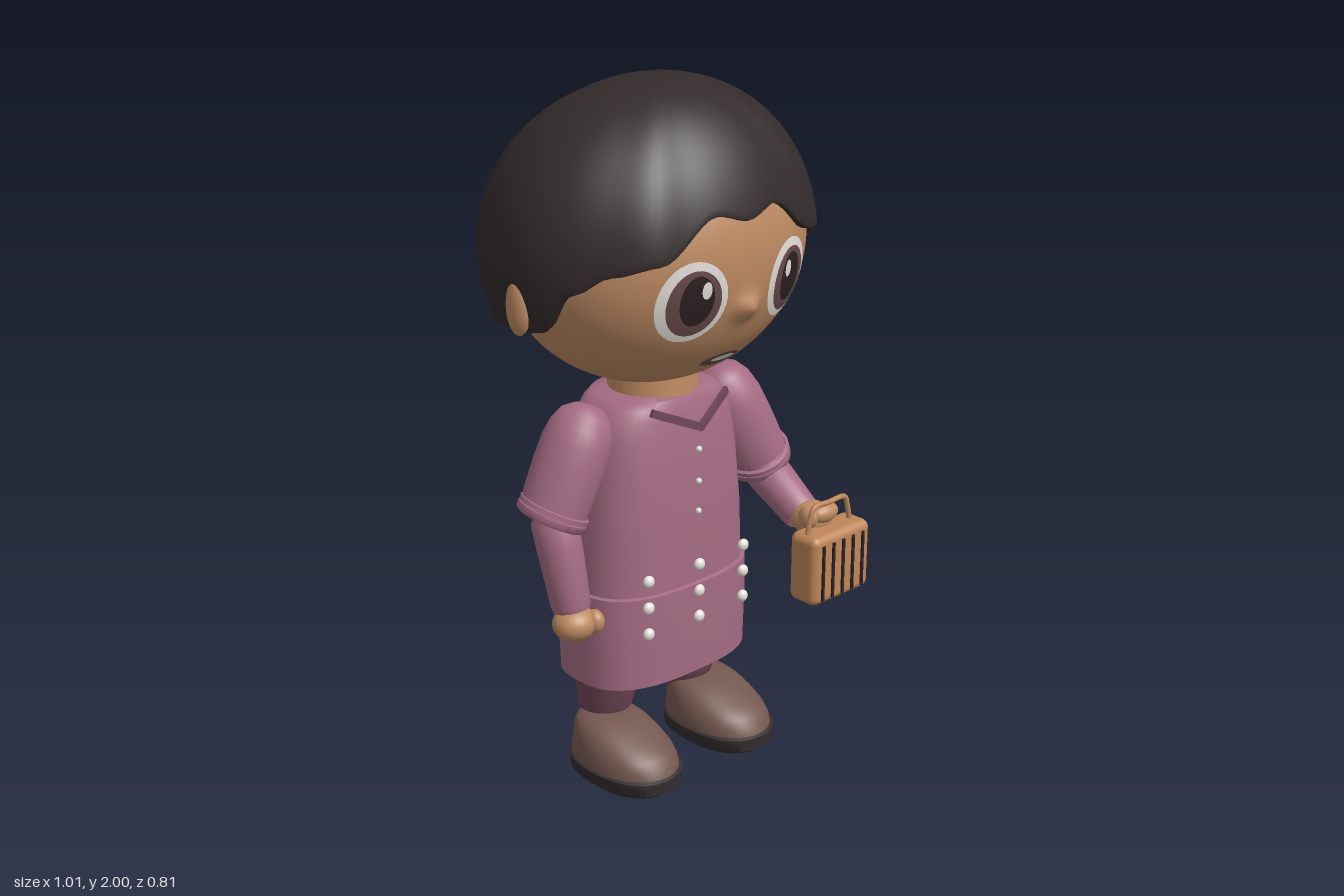
import * as THREE from 'three';
import { toCreasedNormals } from 'three/addons/utils/BufferGeometryUtils.js';
import { RoundedBoxGeometry } from 'three/addons/geometries/RoundedBoxGeometry.js';

const material = (name, color, side = THREE.FrontSide) => {
  const m = new THREE.MeshStandardMaterial({ color, side });
  m.name = name;
  return m;
};

// Grid of points, rows running upward and columns turning from +z to +x
function gridGeometry(rows, cols, at) {
  const pos = [], index = [];
  for (let j = 0; j < rows; j++)
    for (let i = 0; i < cols; i++) pos.push(...at(j, i / cols));
  for (let j = 0; j < rows - 1; j++)
    for (let i = 0; i < cols; i++) {
      const a = j * cols + i, b = j * cols + (i + 1) % cols;
      index.push(a, b, a + cols, b, b + cols, a + cols);
    }
  const g = new THREE.BufferGeometry();
  g.setAttribute('position', new THREE.Float32BufferAttribute(pos, 3));
  g.setIndex(index);
  g.computeVertexNormals();
  return g;
}

// Stack of rounded cross-sections [y, centreZ, halfWidth, halfDepth]
function loft(sections, n) {
  const f = (v) => Math.sign(v) * Math.abs(v) ** (2 / n);
  const g = gridGeometry(sections.length, 64, (j, u) => {
    const [y, cz, rx, rz] = sections[j], t = u * Math.PI * 2;
    return [rx * f(Math.sin(t)), y, cz + rz * f(Math.cos(t))];
  });
  return toCreasedNormals(g, 0.8);
}

// Smooth lookup in a list of [x, value]
function lookup(table, x) {
  let i = 0;
  while (i < table.length - 2 && x > table[i + 1][0]) i++;
  const [x0, v0] = table[i], [x1, v1] = table[i + 1];
  return v0 + (v1 - v0) * THREE.MathUtils.smoothstep(x, x0, x1);
}

export function createModel() {
  const model = new THREE.Group();
  const skin = material('skin', 0xbd8a62);
  const hairDark = material('hair', 0x332b2b, THREE.DoubleSide);
  const cloth = material('mauve cloth', 0xa56c83, THREE.DoubleSide);
  const trouser = material('dark mauve', 0x704658);
  const leather = material('shoe leather', 0x73574f);
  const sole = material('sole', 0x332d2e);
  const white = material('off white', 0xe6e0da);
  const iris = material('iris', 0x6a4a4a);
  const pupil = material('pupil', 0x2b2122);
  const wood = material('case tan', 0xbe8659);

  const add = (name, geo, mat, x = 0, y = 0, z = 0, parent = model) => {
    const m = new THREE.Mesh(geo, mat);
    m.name = name;
    m.position.set(x, y, z);
    parent.add(m);
    return m;
  };
  const ball = (name, mat, x, y, z, rx, ry = rx, rz = rx, seg = 24) =>
    add(name, new THREE.SphereGeometry(1, seg, seg * 0.75).scale(rx, ry, rz), mat, x, y, z);

  // Round limb from a (top) to b (end); profile is [radius, fraction from b to a]
  const limb = (name, mat, a, b, profile) => {
    const A = new THREE.Vector3(...a), B = new THREE.Vector3(...b), d = A.clone().sub(B);
    const pts = profile.map(([r, t]) => new THREE.Vector2(r, t * d.length()));
    const geo = toCreasedNormals(new THREE.LatheGeometry(pts, 32), 0.8);
    const m = add(name, geo, mat, ...b);
    m.quaternion.setFromUnitVectors(new THREE.Vector3(0, 1, 0), d.normalize());
  };

  // Head, with the nose raised out of the face
  const HX = 0.46, HY = 0.395, HZ = 0.37, HC = 1.555;
  const headGeo = new THREE.SphereGeometry(1, 128, 96).rotateY(-Math.PI / 2).scale(HX, HY, HZ);
  const hp = headGeo.attributes.position;
  for (let i = 0; i < hp.count; i++) {
    const x = hp.getX(i), y = hp.getY(i) + HC - 1.435, z = hp.getZ(i);
    if (z > 0) hp.setZ(i, z + 0.036 * Math.exp(-((x / 0.036) ** 2) - (y / 0.034) ** 2));
  }
  headGeo.computeVertexNormals();
  add('head', headGeo, skin, 0, HC, 0);
  add('neck', new THREE.CylinderGeometry(0.12, 0.135, 0.16, 32), skin, 0, 1.15, -0.005);

  // Thin oval laid on the curve of the face
  const patch = (name, mat, cx, cy, rx, ry, lift) => {
    const g = new THREE.RingGeometry(0, 1, 40, 6), p = g.attributes.position;
    for (let i = 0; i < p.count; i++) {
      const x = cx + p.getX(i) * rx, y = cy + p.getY(i) * ry;
      const z = HZ * Math.sqrt(1 - (x / HX) ** 2 - ((y - HC) / HY) ** 2);
      p.setXYZ(i, x, y, z + lift);
    }
    g.computeVertexNormals();
    add(name, g, mat);
  };
  patch('lips', iris, 0, 1.27, 0.068, 0.021, 0.006);
  patch('teeth', white, 0, 1.275, 0.042, 0.009, 0.01);

  for (const s of [-1, 1]) {
    patch('eyeWhite', white, s * 0.175, 1.478, 0.098, 0.113, 0.006);
    patch('iris', iris, s * 0.174, 1.476, 0.075, 0.092, 0.01);
    patch('pupil', pupil, s * 0.171, 1.484, 0.047, 0.07, 0.013);
    patch('eyeHighlight', white, s * 0.15, 1.513, 0.014, 0.024, 0.016);
    ball('ear', skin, s * 0.48, 1.458, 0, 0.027, 0.08, 0.041);
  }

  // Hair cap: half outline from above, mirrored; hem height by angle from the front
  const half = [[0.1, 0.372], [0.2, 0.348], [0.3, 0.32], [0.385, 0.24], [0.455, 0.15], [0.492, 0.06],
    [0.495, -0.04], [0.46, -0.17], [0.395, -0.275], [0.3, -0.325], [0.2, -0.365], [0.1, -0.395]];
  const outline = new THREE.CatmullRomCurve3([[0, 0.38], ...half, [0, -0.405],
    ...half.map(([x, z]) => [-x, z]).reverse()].map(([x, z]) => new THREE.Vector3(x, 0, z)), true);
  const hem = [[0, 1.675], [13, 1.7], [34, 1.595], [50, 1.57], [64, 1.52],
    [80, 1.4], [90, 1.385], [105, 1.38], [140, 1.33], [180, 1.29]];
  const rows = 34, lip = 3, top = 1.56;
  add('hair', gridGeometry(rows, 120, (j, u) => {
    const p = outline.getPoint(u);
    const deg = Math.abs(Math.atan2(p.x / 0.5, p.z / 0.39)) * 180 / Math.PI;
    const low = Math.asin((lookup(hem, deg) - top) / 0.44);
    const phi = low + (Math.PI / 2 - low) * Math.max(0, j - lip) / (rows - 1 - lip);
    const inset = [0.86, 0.95, 0.985][j] ?? 1;
    const h = inset * Math.max(0, Math.cos(phi)) ** (phi < 0 ? 0.75 : 0.97);
    return [p.x * h, top + 0.44 * Math.sin(phi) + ([0.012, -0.004, -0.004][j] ?? 0), p.z * h];
  }), hairDark);

  // Tunic and open skirt
  add('tunic', loft([[0.56, -0.006, 0.28, 0.18], [0.75, -0.006, 0.271, 0.178],
    [0.93, -0.006, 0.253, 0.17], [1.03, -0.007, 0.24, 0.158], [1.08, -0.007, 0.225, 0.15],
    [1.11, -0.007, 0.2, 0.144], [1.128, -0.007, 0.17, 0.137], [1.135, -0.007, 0.11, 0.11]], 2.7), cloth);
  add('skirt', loft([[0.3, -0.004, 0.29, 0.183], [0.45, -0.006, 0.292, 0.191],
    [0.578, -0.006, 0.29, 0.192], [0.582, -0.006, 0.27, 0.172]], 2.7), cloth);

  // Collar and buttons
  for (const s of [-1, 1]) {
    const bar = add('collar', new THREE.BoxGeometry(0.165, 0.022, 0.012), trouser, s * 0.07, 1.083, 0.167);
    bar.quaternion.setFromUnitVectors(new THREE.Vector3(1, 0, 0),
      new THREE.Vector3(0.14, s * 0.062, -s * 0.045).normalize());
  }
  for (const y of [0.985, 0.89, 0.8]) ball('smallButton', white, 0, y, 0.183, 0.009, 0.009, 0.009, 12);
  for (const x of [-0.185, 0, 0.185])
    for (const y of [0.638, 0.557, 0.477]) ball('button', white, x, y, x ? 0.178 : 0.188, 0.018, 0.018, 0.014, 16);

  for (const s of [-1, 1]) {
    // Short sleeve with rolled cuff
    const z = s > 0 ? 0.05 : -0.02, end = [s * 0.367, 0.825, z];
    limb('sleeve', cloth, [s * 0.232, 1.125, -0.005], end, [[0.05, 0.04], [0.094, 0.04], [0.098, 0.2],
      [0.1, 0.45], [0.099, 0.65], [0.09, 0.8], [0.072, 0.91], [0.04, 0.98], [0, 1]]);
    limb('cuff', cloth, [s * 0.225, 1.12, z + 0.04], end, [[0.05, -0.02], [0.095, -0.03], [0.101, -0.01],
      [0.101, 0.04], [0.095, 0.045], [0.101, 0.05], [0.101, 0.09], [0.092, 0.1]]);

    // Trouser leg
    limb('trouserLeg', trouser, [s * 0.16, 0.45, 0], [s * 0.163, 0.12, -0.045],
      [[0, 0], [0.05, 0], [0.066, 0.03], [0.083, 0.25], [0.1, 0.6], [0.104, 1], [0, 1]]);

    // Shoe
    const shoe = new THREE.Group();
    shoe.name = 'shoe';
    shoe.position.x = s * 0.187;
    model.add(shoe);
    add('sole', loft([[0, 0.082, 0, 0], [0, 0.082, 0.115, 0.165], [0.012, 0.082, 0.128, 0.18],
      [0.05, 0.082, 0.132, 0.183], [0.056, 0.082, 0.12, 0.17]], 2.3), sole, 0, 0, 0, shoe);
    add('shoeUpper', loft([[0.05, 0.08, 0.127, 0.177], [0.075, 0.077, 0.127, 0.172], [0.1, 0.068, 0.122, 0.16],
      [0.125, 0.048, 0.114, 0.137], [0.148, 0.025, 0.103, 0.111], [0.165, 0.008, 0.086, 0.088],
      [0.174, 0, 0.062, 0.066], [0.178, 0, 0, 0]], 2.15), leather, 0, 0, 0, shoe);
  }

  // Right arm hanging, left arm bent forward
  const forearm = [[0, 0], [0.052, 0], [0.056, 0.04], [0.064, 0.6], [0.066, 0.85], [0.045, 1], [0, 1.05]];
  limb('rightForearm', cloth, [-0.365, 0.86, -0.02], [-0.352, 0.565, 0.045], forearm);
  ball('rightHand', skin, -0.352, 0.525, 0.055, 0.064, 0.05, 0.06);
  ball('rightThumb', skin, -0.308, 0.528, 0.09, 0.026, 0.035, 0.03);
  limb('leftForearm', cloth, [0.385, 0.81, 0.03], [0.365, 0.7, 0.24], forearm);
  ball('leftHand', skin, 0.365, 0.702, 0.275, 0.06, 0.05, 0.06);
  ball('leftFingers', skin, 0.372, 0.728, 0.315, 0.052, 0.03, 0.032);
  ball('leftThumb', skin, 0.318, 0.725, 0.305, 0.024, 0.034, 0.032);

  // Carried case with dark slats and a handle
  add('case', new RoundedBoxGeometry(0.238, 0.213, 0.105, 4, 0.025), wood, 0.378, 0.588, 0.338);
  for (let i = 0; i < 5; i++)
    add('slat', new THREE.BoxGeometry(0.009, 0.17, 0.005), pupil, 0.286 + i * 0.041, 0.588, 0.4);
  const path = new THREE.CatmullRomCurve3([[0.28, 0.68], [0.292, 0.735], [0.305, 0.766], [0.37, 0.768],
    [0.435, 0.766], [0.448, 0.735], [0.46, 0.68]].map(([x, y]) => new THREE.Vector3(x, y, 0.338)));
  add('caseHandle', new THREE.TubeGeometry(path, 40, 0.008, 10), wood);

  return model;
}
